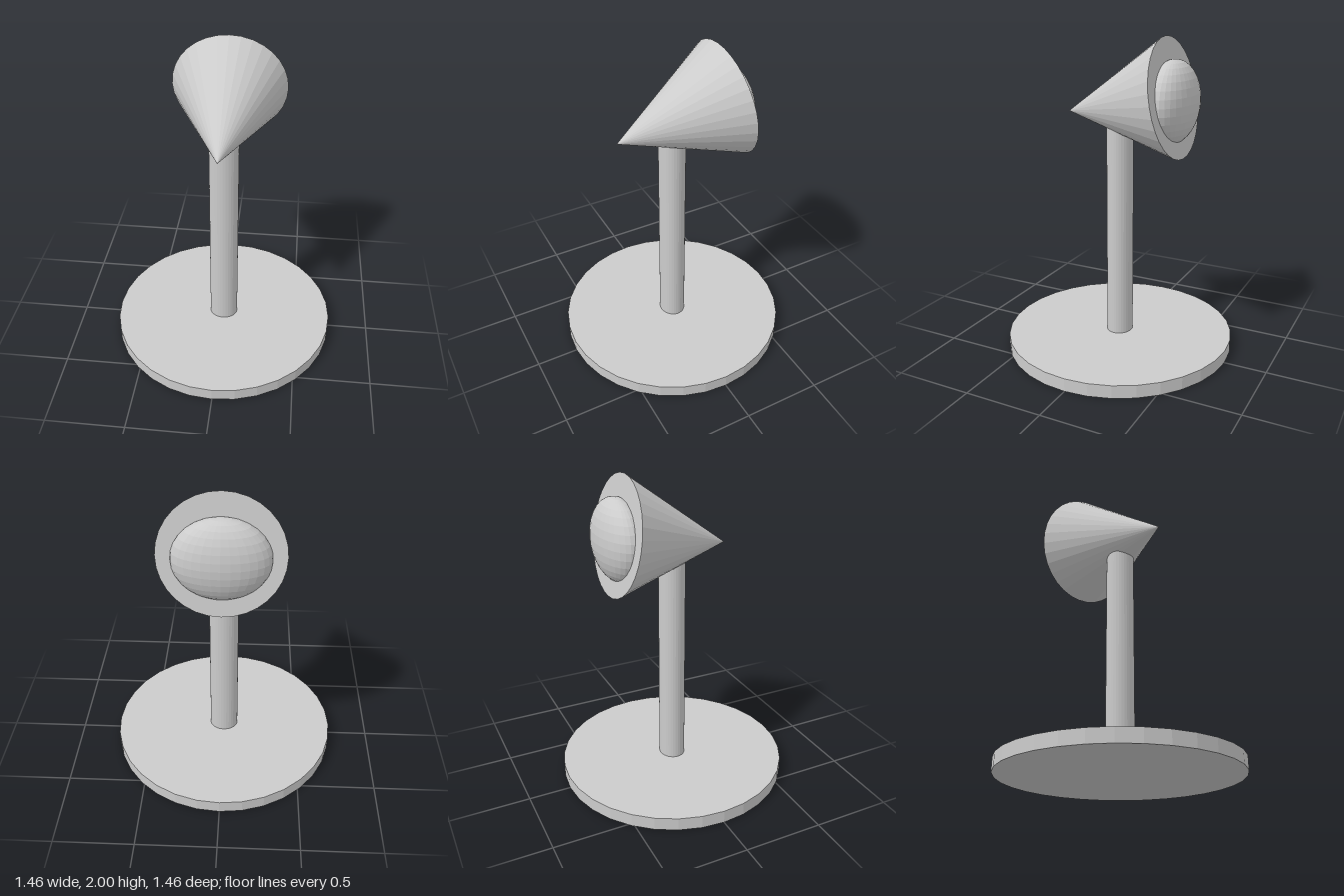
import * as THREE from 'three';

export function createModel() {
  const group = new THREE.Group();
  const material = new THREE.MeshStandardMaterial({ color: 0xcccccc, flatShading: true });

  const add = (name, geometry, x, y, z) => {
    const mesh = new THREE.Mesh(geometry, material);
    mesh.name = name;
    mesh.position.set(x, y, z);
    group.add(mesh);
    return mesh;
  };

  // Round foot plate
  add('base', new THREE.CylinderGeometry(0.732, 0.732, 0.083, 32), 0, 0.0415, 0);

  // Slightly oval post, its top hidden inside the cone
  const post = add('post', new THREE.CylinderGeometry(0.0925, 0.0925, 1.4, 32), 0, 0.77, 0);
  post.scale.z = 0.885;

  // Cone head, its tip facing forward and dipped by ten degrees
  const head = add('coneHead', new THREE.ConeGeometry(0.364, 0.728, 32), 0, 1.579, 0.0015);
  head.rotation.x = THREE.MathUtils.degToRad(100);

  // Flattened dome set into the back of the cone
  const dome = add('backDome', new THREE.SphereGeometry(1, 32, 16), 0, 1.62, -0.35);
  dome.scale.set(0.283, 0.25, 0.138);

  return group;
}
